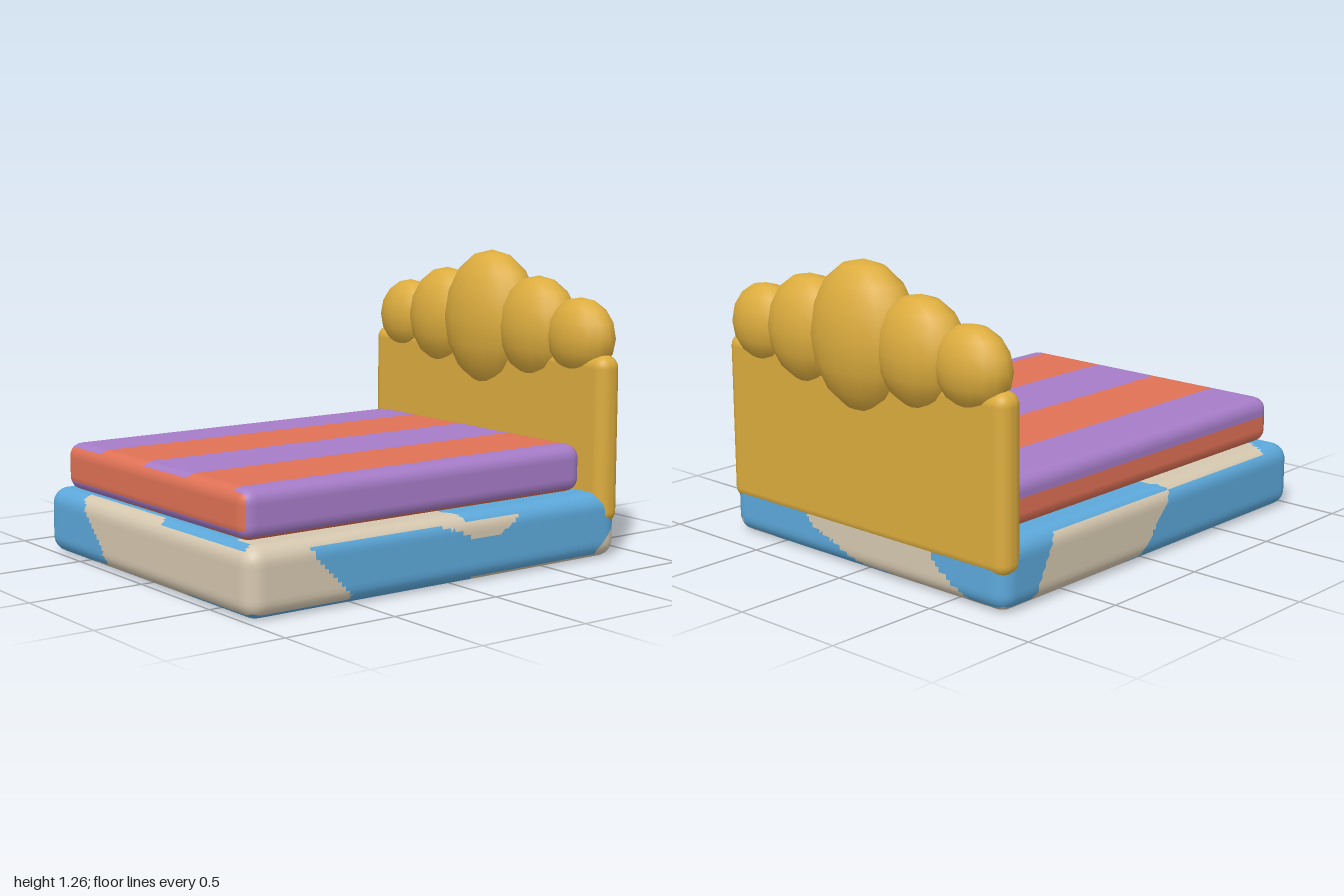
import * as THREE from 'three';
import { RoundedBoxGeometry } from 'three/addons/geometries/RoundedBoxGeometry.js';

const mat = (name, color) => new THREE.MeshStandardMaterial({ name, color });

// Even-odd test of a point against a polygon of [u, v] corners
function inside(poly, u, v) {
  let hit = false;
  for (let i = 0, j = poly.length - 1; i < poly.length; j = i++) {
    const [a, b] = poly[i], [c, d] = poly[j];
    if ((b > v) !== (d > v) && u < ((c - a) * (v - b)) / (d - b) + a) hit = !hit;
  }
  return hit;
}
const inAny = (polys, u, v) => polys.some((p) => inside(p, u, v));

// Soft-edged block; each of its six sides has a rule choosing the second colour
function paintedBlock(name, size, centre, r, rules, materials) {
  const geo = new THREE.BoxGeometry(...size, ...size.map((s) => Math.round(s / 0.02)));
  const pos = geo.attributes.position, nor = geo.attributes.normal;
  const core = new THREE.Vector3(...size).multiplyScalar(0.5).subScalar(r);
  const p = new THREE.Vector3(), q = new THREE.Vector3();
  const c = new THREE.Vector3(...centre);
  for (let i = 0; i < pos.count; i++) {
    p.fromBufferAttribute(pos, i);
    q.copy(p).clamp(core.clone().negate(), core);
    p.sub(q).normalize();
    nor.setXYZ(i, p.x, p.y, p.z);
    p.multiplyScalar(r).add(q).add(c);
    pos.setXYZ(i, p.x, p.y, p.z);
  }
  // Sort the triangles into the two colours
  const lists = [[], []];
  const idx = geo.index.array;
  geo.groups.forEach((g, side) => {
    for (let i = g.start; i < g.start + g.count; i += 3) {
      const tri = [idx[i], idx[i + 1], idx[i + 2]];
      const mean = (f) => tri.reduce((s, t) => s + pos[f](t), 0) / 3;
      lists[rules[side](mean('getX'), mean('getY'), mean('getZ')) ? 1 : 0].push(...tri);
    }
  });
  geo.setIndex([...lists[0], ...lists[1]]);
  geo.clearGroups();
  geo.addGroup(0, lists[0].length, 0);
  geo.addGroup(lists[0].length, lists[1].length, 1);
  const mesh = new THREE.Mesh(geo, materials);
  mesh.name = name;
  return mesh;
}

export function createModel() {
  const bed = new THREE.Group();
  bed.name = 'bed';
  const gold = mat('gold', 0xdcac3e);
  const blue = mat('blue', 0x5ca8da);
  const beige = mat('beige', 0xd6c8b0);
  const purple = mat('purple', 0xa67cc8);
  const coral = mat('coral', 0xe07256);

  // Beige patches on the blue base, side by side
  const rightPatches = [ // z, y
    [[1.1, 0.4], [0.0, 0.4], [-0.05, 0.25], [-0.33, 0.25], [-0.28, 0.21], [-0.2, 0.18], [-0.08, 0.18],
      [0.0, 0.22], [0.09, 0.25], [0.72, 0.25], [0.69, 0.2], [0.53, 0.05], [0.53, -0.1], [1.1, -0.1]],
    [[-0.76, -0.1], [-0.76, 0.04], [-0.88, 0.15], [-1, 0.15], [-1, -0.1]],
  ];
  const leftPatches = [[[-0.57, 0.29], [-0.72, -0.01], [-0.08, -0.01], [0.17, 0.29]]]; // z, y
  const topPatches = [ // x, z
    [[-0.8, 0.16], [-0.69, 0.1], [-0.6, 0.1], [-0.6, 0.9], [-0.69, 0.84], [-0.8, 0.8]],
    [[0.6, 0.02], [0.8, -0.06], [0.8, 1.1], [0.74, 1.1], [0.7, 0.94], [0.6, 0.94]],
    [[-0.5, 0.94], [0.1, 0.94], [0.2, 1.1], [-0.48, 1.1]],
  ];
  const bottomPatches = [ // x, z
    [[0.8, -0.9], [0.62, -0.9], [0.49, -0.83], [0.46, -0.68], [0.47, -0.52], [0.56, -0.27], [0.75, -0.08],
      [0.8, -0.07]],
    [[-0.12, -0.9], [-0.27, -0.75], [-0.3, -0.6], [-0.22, -0.34], [0.0, -0.12], [0.23, 0.08], [0.4, 0.28],
      [0.46, 0.5], [0.42, 0.78], [0.24, 1.1], [-0.41, 1.1], [-0.41, 0.97], [-0.27, 0.86], [-0.18, 0.74],
      [-0.16, 0.62], [-0.25, 0.33], [-0.47, 0.05], [-0.8, -0.15], [-0.8, -0.9]],
  ];
  const frontPatches = [[[-0.55, 0.3], [-0.48, 0.26], [-0.29, 0.05], [-0.3, -0.1], [0.9, -0.1], [0.9, 0.3]]];
  const backPatches = [ // x, y
    [[0.35, 0.29], [0.3, 0.14], [-0.08, -0.01], [-0.62, -0.01], [-0.4, 0.14], [-0.35, 0.29]],
    [[0.72, -0.1], [0.72, 0.05], [0.8, 0.12], [0.8, -0.1]],
  ];
  bed.add(paintedBlock('base', [1.55, 0.28, 1.885], [0, 0.14, 0.0575], 0.07, [
    (x, y, z) => inAny(rightPatches, z, y),
    (x, y, z) => inAny(leftPatches, z, y),
    (x, y, z) => inAny(topPatches, x, z),
    (x, y, z) => inAny(bottomPatches, x, z),
    (x, y) => inAny(frontPatches, x, y),
    (x, y) => inAny(backPatches, x, y),
  ], [blue, beige]));

  // Mattress with lengthwise stripes
  const stripe = (x, start) => Math.floor((x - start) / 0.33 + 10) % 2 === 0;
  bed.add(paintedBlock('mattress', [1.36, 0.2, 1.72], [0, 0.38, 0.1], 0.055, [
    () => false,
    (x, y) => y < 0.4,
    (x) => stripe(x, -0.4),
    (x) => stripe(x, -0.27),
    (x, y) => y > 0.325,
    () => true,
  ], [purple, coral]));

  // Headboard panel
  const panel = new THREE.Mesh(new RoundedBoxGeometry(1.56, 0.72, 0.12, 4, 0.055), gold);
  panel.name = 'headboardPanel';
  panel.position.set(0, 0.5, -0.83);
  bed.add(panel);

  // Row of puffy cushions along the top of the headboard
  const puffs = new THREE.Group();
  puffs.name = 'headboardPuffs';
  const ball = new THREE.SphereGeometry(1, 16, 8);
  const puff = (x, y, rx, ry, rz) => {
    const mesh = new THREE.Mesh(ball, gold);
    mesh.name = 'puff';
    mesh.position.set(x, y, -0.835);
    mesh.scale.set(rx, ry, rz);
    puffs.add(mesh);
  };
  puff(0, 0.955, 0.265, 0.307, 0.165);
  for (const s of [-1, 1]) {
    puff(s * 0.31, 0.94, 0.215, 0.226, 0.14);
    puff(s * 0.577, 0.925, 0.178, 0.166, 0.115);
  }
  bed.add(puffs);
  return bed;
}
